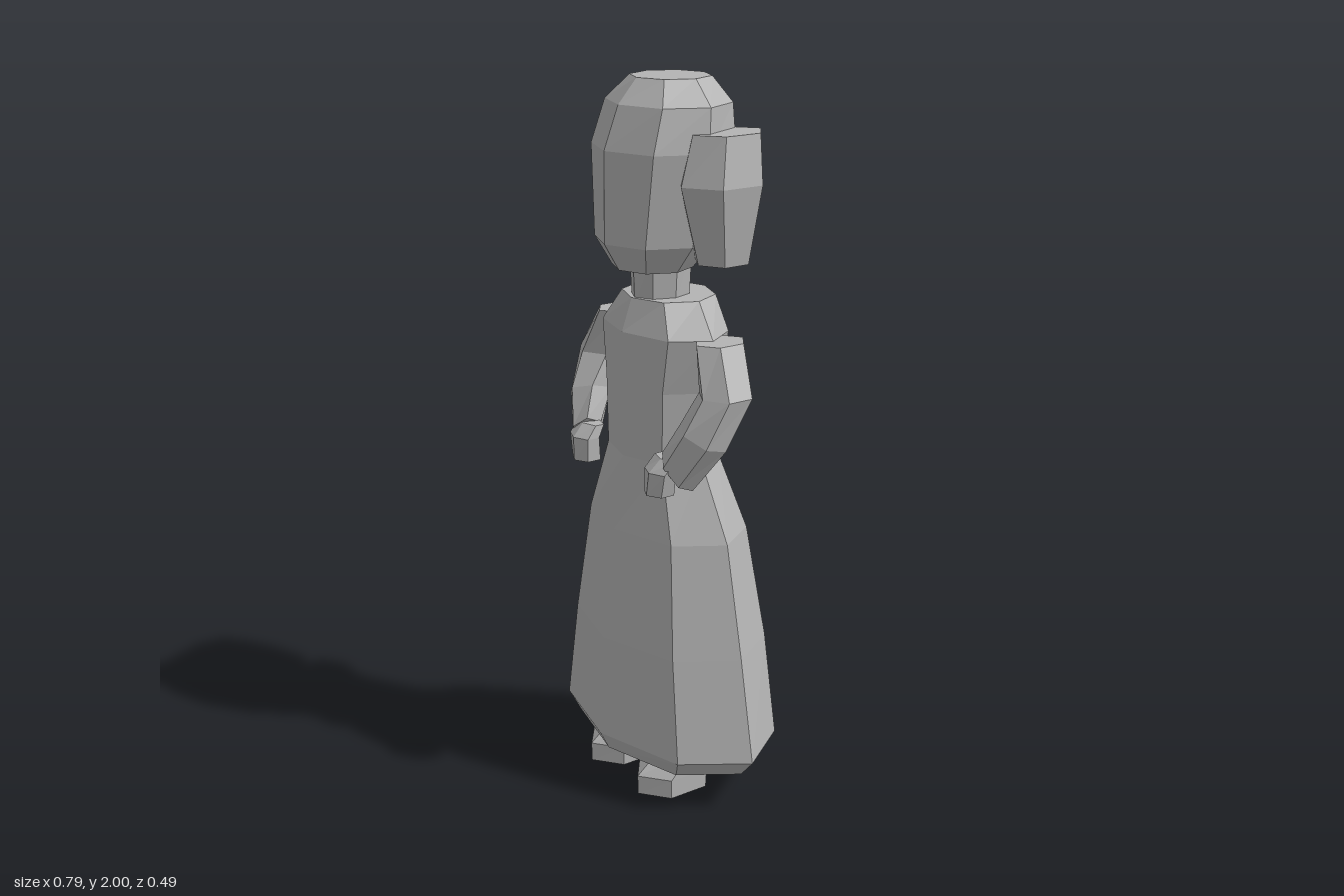
import * as THREE from 'three';

const grey = new THREE.MeshStandardMaterial({ color: 0xb4b4b4, flatShading: true });
grey.name = 'stone grey';

// Closed loft through rings listed bottom to top.
// Ring: [x, y, front z, back z, half width, x tilt, z tilt]
function loft(name, sides, rings, parent, mirror = 1) {
  const pos = [], idx = [];
  const start = sides === 6 ? Math.PI / 6 : 0;
  const widen = sides === 6 ? 1 / Math.cos(start) : 1;
  for (const [x, y, zf, zb, rx, tx = 0, tz = 0] of rings) {
    for (let i = 0; i < sides; i++) {
      const a = start + (i / sides) * Math.PI * 2;
      const dx = Math.cos(a) * rx * widen;
      const dz = Math.sin(a) * (zf - zb) / 2;
      pos.push(x * mirror + dx, y + dx * tx * mirror + dz * tz, (zf + zb) / 2 + dz);
    }
  }
  for (let r = 0; r < rings.length - 1; r++) {
    for (let i = 0; i < sides; i++) {
      const j = (i + 1) % sides, lo = r * sides, hi = lo + sides;
      idx.push(lo + i, hi + i, lo + j, lo + j, hi + i, hi + j);
    }
  }
  // end caps
  const top = (rings.length - 1) * sides;
  for (let i = 1; i < sides - 1; i++) {
    idx.push(0, i, i + 1, top, top + i + 1, top + i);
  }
  const geo = new THREE.BufferGeometry();
  geo.setAttribute('position', new THREE.Float32BufferAttribute(pos, 3));
  geo.setIndex(idx);
  geo.computeVertexNormals();
  const mesh = new THREE.Mesh(geo, grey);
  mesh.name = name;
  parent.add(mesh);
}

export function createModel() {
  const model = new THREE.Group();
  model.name = 'figure';

  // long gown from hem to shoulders
  loft('gown', 8, [
    [0, 0.10, 0.215, -0.215, 0.345],
    [0, 0.155, 0.243, -0.243, 0.395],
    [0, 0.45, 0.227, -0.225, 0.34],
    [0, 0.77, 0.19, -0.175, 0.28],
    [0, 0.98, 0.157, -0.11, 0.185],
    [0, 1.18, 0.16, -0.117, 0.19],
    [0, 1.33, 0.157, -0.125, 0.22],
    [0, 1.42, 0.125, -0.118, 0.14],
  ], model);

  loft('neck', 8, [
    [0, 1.40, 0.115, -0.055, 0.07],
    [0, 1.55, 0.12, -0.06, 0.08],
  ], model);

  loft('head', 8, [
    [0, 1.50, 0.165, -0.05, 0.115],
    [0, 1.575, 0.21, -0.115, 0.17],
    [0, 1.82, 0.208, -0.165, 0.205],
    [0, 1.935, 0.163, -0.155, 0.188],
    [0, 2.0, 0.105, -0.112, 0.112],
  ], model);

  for (const [side, s] of [['left', 1], ['right', -1]]) {
    // side hair bun
    loft(side + 'HairBun', 6, [
      [0.185, 1.53, 0.04, -0.113, 0.065],
      [0.185, 1.74, 0.096, -0.158, 0.095],
      [0.185, 1.87, 0.06, -0.16, 0.07],
    ], model, s);

    // bent arm reaching forward
    loft(side + 'Arm', 6, [
      [0.22, 0.99, 0.178, 0.085, 0.037, -1.05, 0.4],
      [0.27, 1.09, 0.148, 0.02, 0.057, -0.4, 0.25],
      [0.288, 1.2, 0.10, -0.05, 0.066],
      [0.23, 1.33, 0.078, -0.075, 0.053],
    ], model, s);

    loft(side + 'Hand', 6, [
      [0.178, 0.925, 0.203, 0.12, 0.04],
      [0.185, 0.99, 0.2, 0.125, 0.046],
      [0.19, 1.025, 0.165, 0.11, 0.046],
    ], model, s);

    loft(side + 'Foot', 6, [
      [0.12, 0, 0.197, -0.045, 0.08],
      [0.12, 0.055, 0.197, -0.05, 0.08],
      [0.12, 0.12, 0.115, -0.057, 0.078],
    ], model, s);
  }
  return model;
}
